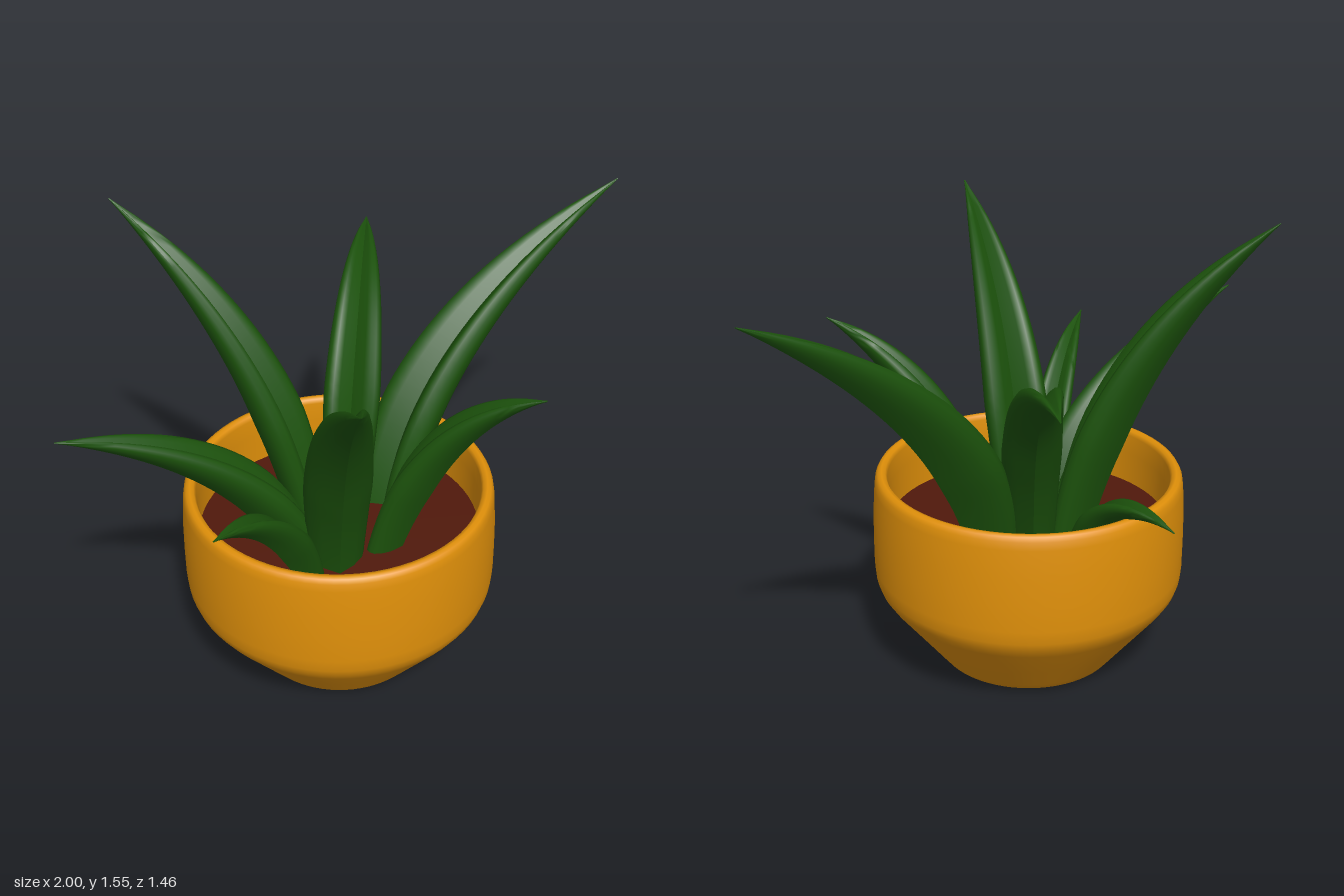
import * as THREE from 'three';
import { toCreasedNormals } from 'three/addons/utils/BufferGeometryUtils.js';

const potMat = new THREE.MeshStandardMaterial({ color: 0xe0900a });
const soilMat = new THREE.MeshStandardMaterial({ color: 0x50190c });
const leafMat = new THREE.MeshStandardMaterial({ color: 0x1c520c, side: THREE.DoubleSide });

// Leaf cross-section: two soft lobes with a groove on top, keeled underneath (counterclockwise)
const SECTION = [
  [1, 0.3], [0.96, 0.54], [0.82, 0.72], [0.62, 0.74], [0.4, 0.58], [0, 0.2],
  [-0.4, 0.58], [-0.62, 0.74], [-0.82, 0.72], [-0.96, 0.54], [-1, 0.3],
  [-0.9, 0], [-0.55, -0.42], [0, -0.8], [0.55, -0.42], [0.9, 0],
];

// Sweeps the section along an arching curve, tapering to a point
function leafGeometry(base, bend, tip, width) {
  const curve = new THREE.QuadraticBezierCurve3(base, bend, tip);
  const side = new THREE.Vector3(0, 1, 0)
    .cross(new THREE.Vector3().subVectors(tip, base).setY(0)).normalize();
  const rows = 28, n = SECTION.length;
  const positions = [], index = [];
  for (let i = 0; i <= rows; i++) {
    const t = i / rows;
    const p = curve.getPoint(t);
    const normal = curve.getTangent(t).cross(side).normalize();
    const w = Math.max(0.002, width * (1 - t ** 2.5) * (0.76 + 0.24 * Math.min(1, t / 0.3)));
    for (const [u, v] of SECTION) {
      const q = p.clone().addScaledVector(side, u * w).addScaledVector(normal, v * w);
      positions.push(q.x, q.y, q.z);
    }
  }
  for (let i = 0; i < rows; i++) {
    for (let j = 0; j < n; j++) {
      const a = i * n + j, b = i * n + (j + 1) % n;
      index.push(a, b, a + n, b, b + n, a + n);
    }
  }
  const g = new THREE.BufferGeometry();
  g.setAttribute('position', new THREE.Float32BufferAttribute(positions, 3));
  g.setIndex(index);
  return toCreasedNormals(g, 1.05);
}

export function createModel() {
  const model = new THREE.Group();
  const cx = -0.095;

  // Pot: outer wall, rounded rim and inner wall
  const profile = [
    [0, 0], [0.24, 0], [0.275, 0.005], [0.3, 0.02], [0.32, 0.045],
    [0.39, 0.135], [0.48, 0.25], [0.503, 0.285], [0.513, 0.315], [0.517, 0.36],
    [0.517, 0.45], [0.515, 0.55], [0.509, 0.64], [0.505, 0.667], [0.497, 0.681], [0.485, 0.685],
    [0.472, 0.681], [0.465, 0.667], [0.465, 0.6], [0.465, 0.47],
  ].map(([r, y]) => new THREE.Vector2(r, y));
  const pot = new THREE.Mesh(new THREE.LatheGeometry(profile, 72), potMat);
  pot.name = 'pot';
  pot.position.set(cx, 0, -0.004);
  model.add(pot);

  // Soil surface inside the pot
  const soil = new THREE.Mesh(new THREE.CircleGeometry(0.468, 64), soilMat);
  soil.name = 'soil';
  soil.rotation.x = -Math.PI / 2;
  soil.position.set(cx, 0.49, -0.004);
  model.add(soil);

  // Leaves: base, bend point, tip, half width
  const leaves = [
    [[0.1, 0.45, -0.04], [0.22, 1.06, -0.14], [1, 1.45, -0.2], 0.125],
    [[-0.02, 0.45, -0.13], [0.09, 1.22, -0.25], [0.33, 1.2, -0.73], 0.1],
    [[-0.12, 0.45, -0.25], [-0.11, 0.78, -0.36], [-0.14, 0.71, -0.68], 0.053],
    [[-0.16, 0.45, -0.14], [-0.24, 1.12, -0.2], [-0.62, 1.55, -0.55], 0.105],
    [[-0.23, 0.45, 0.05], [-0.4, 0.94, 0.03], [-1, 1.13, 0.05], 0.095],
    [[-0.28, 0.45, 0.17], [-0.4, 0.88, 0.26], [-0.68, 0.98, 0.48], 0.068],
    [[-0.17, 0.45, 0.15], [-0.18, 1.1, 0.2], [-0.34, 1.46, 0.73], 0.115],
    [[0, 0.45, 0.14], [0.13, 1.0, 0.18], [0.37, 1.16, 0.48], 0.085],
  ];
  leaves.forEach(([base, bend, tip, width], i) => {
    const v = (p) => new THREE.Vector3(...p);
    const leaf = new THREE.Mesh(leafGeometry(v(base), v(bend), v(tip), width), leafMat);
    leaf.name = `leaf${i + 1}`;
    model.add(leaf);
  });

  return model;
}
